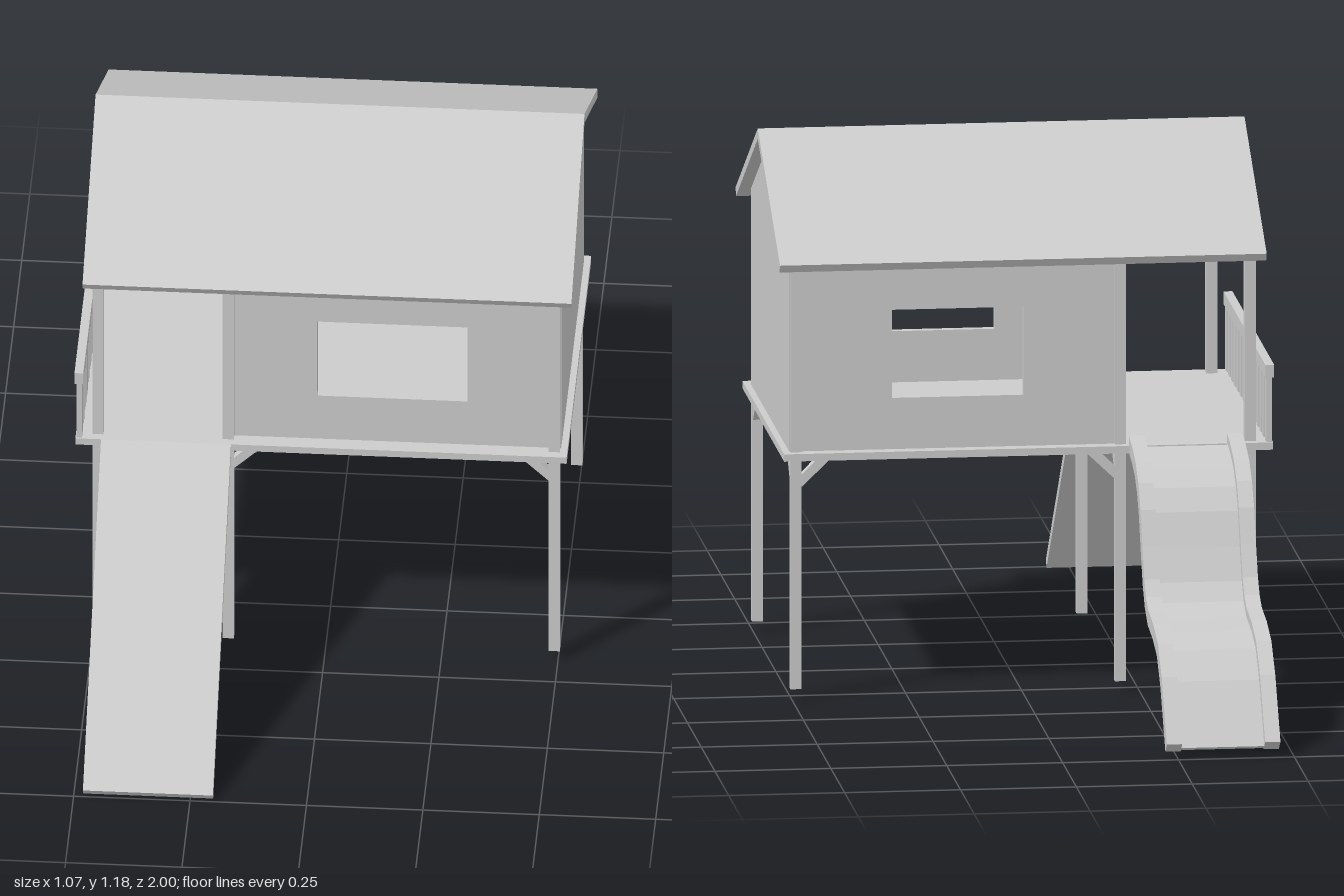
import * as THREE from 'three';

const mat = new THREE.MeshStandardMaterial({ color: 0xcccccc, flatShading: true });
const MID = 0.06; // z of the house centreline

export function createModel() {
  const model = new THREE.Group();

  const add = (name, geo) => {
    const m = new THREE.Mesh(geo, mat);
    m.name = name;
    model.add(m);
    return m;
  };
  // box given by its limits on each axis
  const box = (name, x0, x1, y0, y1, z0, z1) =>
    add(name, new THREE.BoxGeometry(x1 - x0, y1 - y0, z1 - z0))
      .position.set((x0 + x1) / 2, (y0 + y1) / 2, (z0 + z1) / 2);
  const outline = (pts) => new THREE.Shape(pts.map((p) => new THREE.Vector2(...p)));
  const rect = (a0, a1, b0, b1) => [[a0, b0], [a1, b0], [a1, b1], [a0, b1]];
  // side profile of [z, y] points extruded from x0 to x1
  const profile = (name, pts, x0, x1, hole) => {
    const s = outline(pts);
    if (hole) s.holes.push(outline(hole));
    const m = add(name, new THREE.ExtrudeGeometry(s, { depth: x1 - x0, bevelEnabled: false }));
    m.rotation.y = -Math.PI / 2;
    m.position.x = x1;
  };
  // front profile of [x, y] points extruded from z0 to z1
  const panel = (name, pts, z0, z1, hole) => {
    const s = outline(pts);
    if (hole) s.holes.push(outline(hole));
    add(name, new THREE.ExtrudeGeometry(s, { depth: z1 - z0, bevelEnabled: false })).position.z = z0;
  };

  // Platform
  box('platform', -0.535, 0.52, 0.53, 0.546, -0.32, 0.44);

  // Posts with diagonal braces under the platform
  for (const x of [-0.488, -0.208, 0.492]) {
    for (const side of [1, -1]) {
      const z = MID + side * 0.35;
      box('post', x - 0.012, x + 0.012, 0.027, 0.97, z - 0.011, z + 0.011);
      const brace = (c, d) => [
        [c + d * 0.01, 0.468], [c + d * 0.01, 0.495], [c + d * 0.045, 0.53], [c + d * 0.075, 0.53],
      ];
      panel('braceAlong', brace(x, x > 0 ? -1 : 1), z - 0.01, z + 0.01);
      profile('braceAcross', brace(z, -side), x - 0.01, x + 0.01);
    }
  }

  // Long walls with windows
  panel('frontWall', rect(-0.2, 0.5, 0.546, 0.972), 0.387, 0.405, rect(-0.018, 0.305, 0.658, 0.851));
  panel('backWall', rect(-0.2, 0.5, 0.546, 0.972), -0.292, -0.274, rect(0, 0.284, 0.658, 0.851));

  // Gable walls, the inner one with a doorway to the balcony
  const gable = [[-0.292, 0.546], [0.405, 0.546], [0.405, 0.974], [MID, 1.156], [-0.292, 0.974]];
  profile('gableWall', gable, 0.488, 0.506);
  profile('doorWall', gable, -0.212, -0.196, rect(-0.215, 0.075, 0.547, 0.87));

  // Pitched roof
  profile('roof', [[0.465, 0.965], [MID, 1.18], [-0.345, 0.965], [-0.335, 0.948],
    [MID, 1.157], [0.455, 0.948]], -0.518, 0.532);

  // Balcony railing
  box('handrail', -0.537, -0.518, 0.688, 0.716, -0.32, 0.44);
  const slats = 15;
  for (let i = 0; i < slats; i++) {
    const z = -0.302 + (0.724 * i) / (slats - 1);
    box('railingSlat', -0.533, -0.521, 0.546, 0.69, z - 0.014, z + 0.014);
  }

  // Ramp
  profile('ramp', [[0.44, 0.546], [1, 0.018], [0.988, 0.002], [0.43, 0.528]], -0.48, -0.201);

  // Wavy slide: two side rails and a thinner bed between them
  const path = [[-0.31, 0.566], [-0.37, 0.553], [-0.43, 0.533], [-0.48, 0.498], [-0.52, 0.448],
    [-0.555, 0.375], [-0.59, 0.31], [-0.62, 0.278], [-0.66, 0.258], [-0.75, 0.247],
    [-0.835, 0.222], [-0.905, 0.163], [-1, 0.036]];
  const offset = (d) => path.map(([z, y], i) => {
    const a = path[Math.max(i - 1, 0)], b = path[Math.min(i + 1, path.length - 1)];
    const dz = b[0] - a[0], dy = b[1] - a[1], l = Math.hypot(dz, dy);
    return [z - (dy / l) * d, y + (dz / l) * d];
  });
  const band = (d0, d1) => [...offset(d0), ...offset(d1).reverse()];
  profile('slideRail', band(0, 0.036), -0.47, -0.437);
  profile('slideRail', band(0, 0.036), -0.258, -0.225);
  profile('slideBed', band(0.02, 0.03), -0.438, -0.257);

  return model;
}
